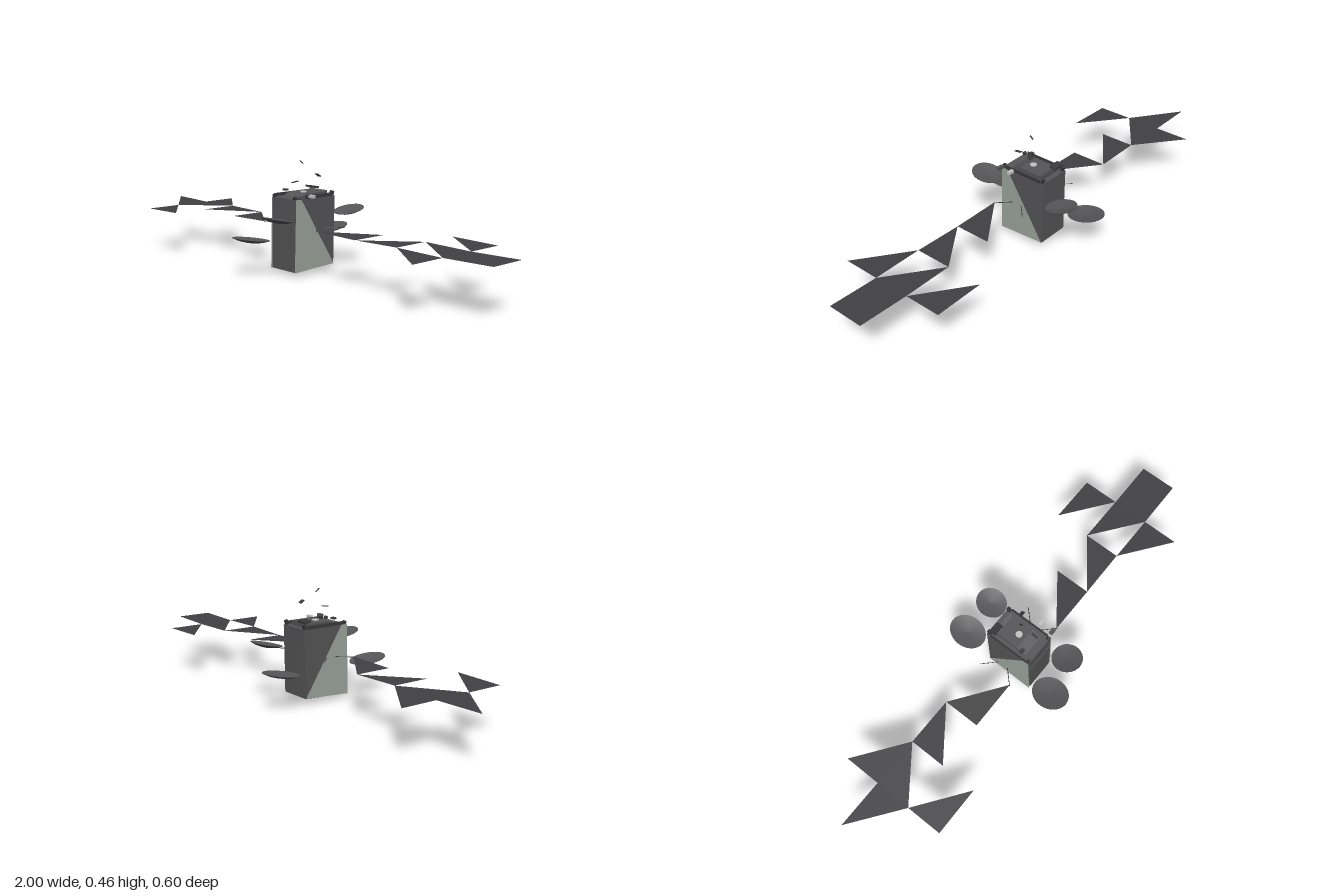
import * as THREE from 'three';

const material = (name, color, side = THREE.FrontSide) => {
  const m = new THREE.MeshStandardMaterial({ color, side });
  m.name = name;
  return m;
};

export function createModel() {
  const model = new THREE.Group();
  model.name = 'satellite';
  const D = THREE.DoubleSide;
  const dark = material('darkBody', 0x555557);
  const sheet = material('paleSheet', 0x9ca39c, D);
  const solar = material('solarCell', 0x414143, D);
  const mesh = material('dishMesh', 0x565658, D);
  const black = material('blackFitting', 0x3a3a3c);
  const pale = material('paleMetal', 0xc4c4c0, D);
  const gold = material('goldFoil', 0xb08a3c, D);

  const add = (name, geometry, mat, parent = model) => {
    const m = new THREE.Mesh(geometry, mat);
    m.name = name;
    parent.add(m);
    return m;
  };
  const box = (name, size, pos, mat, rot = [0, 0, 0]) => {
    const m = add(name, new THREE.BoxGeometry(...size), mat);
    m.position.set(...pos);
    m.rotation.set(...rot);
    return m;
  };
  const rod = (name, a, b, r, mat) => {
    const p = new THREE.Vector3(...a), q = new THREE.Vector3(...b);
    const m = add(name, new THREE.CylinderGeometry(r, r, p.distanceTo(q), 6), mat);
    m.position.copy(p).add(q).multiplyScalar(0.5);
    m.quaternion.setFromUnitVectors(new THREE.Vector3(0, 1, 0), q.sub(p).normalize());
    return m;
  };
  const triangles = (name, points, mat) => {
    const g = new THREE.BufferGeometry();
    g.setAttribute('position', new THREE.Float32BufferAttribute(points.flat(), 3));
    g.computeVertexNormals();
    return add(name, g, mat);
  };
  // side profile given as [z, y], extruded across the body
  const slab = (name, profile, width, mat) => {
    const shape = new THREE.Shape(profile.map(p => new THREE.Vector2(...p)));
    const g = new THREE.ExtrudeGeometry(shape, { depth: width, bevelEnabled: false });
    g.rotateY(-Math.PI / 2).translate(width / 2, 0, 0);
    return add(name, g, mat);
  };

  // body with a slightly sloping floor
  slab('body', [[0.108, 0.018], [-0.102, 0.028], [-0.108, 0.312], [0.104, 0.312]], 0.142, dark);
  box('frontPanel', [0.13, 0.22, 0.004], [0, 0.135, 0.109], dark);
  box('backPanel', [0.13, 0.24, 0.004], [0, 0.16, -0.106], dark);
  for (const s of [-1, 1]) {
    const x = s * 0.0735;
    const c = [[x, 0.312, 0.105], [x, 0.312, 0.077], [x, 0.03, -0.101], [x, 0.017, 0.112]];
    triangles('sideSheet', [c[0], c[2], c[1], c[0], c[3], c[2]], sheet);
  }

  // top deck
  slab('deck', [[0.07, 0.312], [-0.085, 0.312], [-0.085, 0.333], [-0.07, 0.328], [0.03, 0.328]], 0.1, dark);
  for (const s of [-1, 1]) {
    box('deckRim', [0.004, 0.014, 0.18], [s * 0.07, 0.318, 0], black);
    box('frontCorner', [0.012, 0.014, 0.012], [s * 0.062, 0.317, 0.1], black, [0.5, 0, 0]);
    box('backCorner', [0.014, 0.02, 0.012], [s * 0.062, 0.321, -0.1], black, [-0.3, 0, 0]);
  }
  box('rearSensor', [0.05, 0.008, 0.03], [-0.04, 0.339, -0.085], black, [-0.15, 0, 0]);
  const hub = add('deckHub', new THREE.CylinderGeometry(0.014, 0.014, 0.016, 16), pale);
  hub.position.set(0, 0.324, 0);

  // small feeds and sensors above the deck
  box('topFeed', [0.006, 0.002, 0.02], [0, 0.451, 0.01], black, [-0.7, 0, 0]);
  box('upperFeed', [0.018, 0.004, 0.018], [0.056, 0.4, -0.029], black, [-0.65, 0, 0]);
  box('frontFeed', [0.012, 0.002, 0.031], [0.02, 0.377, 0.063], black, [0.12, 0, 0]);
  box('lowerFeed', [0.02, 0.007, 0.016], [-0.05, 0.338, 0.054], black);
  for (const z of [0.04, 0.095])
    box('sideThruster', [0.026, 0.012, 0.015], [0.095, 0.323, z], z < 0.05 ? pale : dark);

  // engine nozzle below the body
  const foil = add('engineRing', new THREE.RingGeometry(0.011, 0.026, 24), gold);
  foil.rotation.x = Math.PI / 2;
  foil.position.y = 0.017;
  const nozzle = add('nozzle', new THREE.CylinderGeometry(0.007, 0.0125, 0.024, 20, 1, true), pale);
  nozzle.position.y = 0.012;

  // four shallow reflector dishes, front and back
  const profile = [[0, -0.012], [0.35, -0.0105], [0.7, -0.006], [1, 0.002], [1, 0.004], [0.7, -0.002], [0, -0.006]];
  const dishGeometry = new THREE.LatheGeometry(profile.map(p => new THREE.Vector2(...p)), 32);
  const dish = (name, x, y, z, rx, rz, tilt) => {
    const m = add(name, dishGeometry, mesh);
    m.position.set(x, y, z);
    m.scale.set(rx, 1, rz);
    m.rotation.x = -Math.sign(z) * tilt;
  };
  dish('frontLowerDish', -0.07, 0.147, 0.219, 0.067, 0.081, 0.15);
  dish('backLowerDish', -0.07, 0.147, -0.219, 0.067, 0.081, 0.15);
  dish('frontUpperDish', 0.065, 0.241, 0.197, 0.062, 0.066, 0.21);
  dish('backUpperDish', 0.065, 0.241, -0.197, 0.062, 0.066, 0.21);

  // solar wings: triangular sheets on a slightly folded line, corners as [x, z]
  const a = 0.155, b = 0.37, c = 0.58, d = 0.79, n = -0.083, f = 0.075, nn = -0.24, ff = 0.232;
  const fold = x => [a, c, 1].includes(Math.abs(x)) ? 0.195 : 0.191;
  const panel = (...pts) => triangles('solarPanel', pts.map(([x, z]) => [x, fold(x), z]), solar);
  // left wing
  panel([a, f], [b, f], [b, n]);
  panel([b, f], [c, f], [c, n]);
  panel([c, n], [d, f], [d, n]);
  panel([c, nn], [d, n], [d, nn]);
  panel([c, f], [d, ff], [d, f]);
  panel([d, n], [d, f], [1, f], [d, n], [1, f], [1, n]);
  // right wing
  panel([-b, n], [-b, f], [-a, f]);
  panel([-c, n], [-c, f], [-b, n]);
  panel([-d, n], [-d, f], [-c, n]);
  panel([-d, nn], [-d, n], [-c, n]);
  panel([-d, f], [-d, ff], [-c, ff]);
  panel([-1, n], [-d, f], [-d, n]);
  // wing yokes
  for (const s of [-1, 1]) for (const t of [-1, 1])
    rod('wingYoke', [s * 0.16, 0.193, t * 0.077], [s * 0.105, 0.193, t * 0.022], 0.0015, black);

  return model;
}
